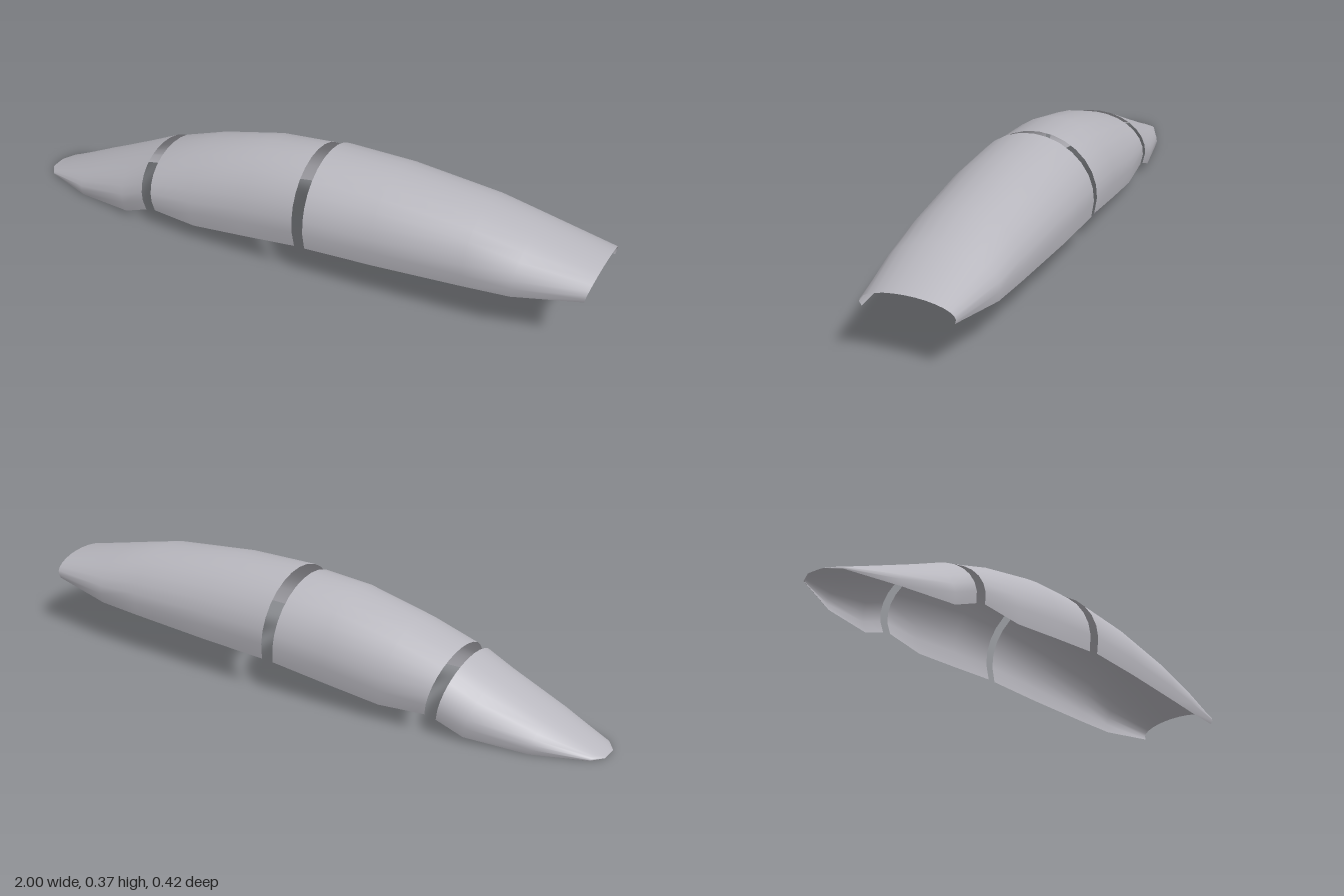
import * as THREE from 'three';

// Arch cross-section as [z factor, height factor]: short straight feet under a half ellipse
const ARCH = [[0.965, 0]];
const STEPS = 14;
for (let j = 0; j <= STEPS; j++) {
  const a = (j / STEPS) * Math.PI;
  ARCH.push([Math.cos(a), 0.22 + 0.78 * Math.sin(a)]);
}
ARCH.push([-0.965, 0]);

// Stations: [foot x, foot y, ridge x, ridge y, half width]
const SEGMENTS = {
  tipShell: [
    [-1, 0, -1, 0.002, 0.03],
    [-0.968, 0, -0.975, 0.012, 0.072],
    [-0.8, 0.001, -0.815, 0.087, 0.135],
    [-0.6, 0.017, -0.635, 0.172, 0.17],
    [-0.512, 0.055, -0.545, 0.215, 0.179],
  ],
  middleShell: [
    [-0.475, 0.065, -0.505, 0.226, 0.183],
    [-0.32, 0.06, -0.35, 0.285, 0.193],
    [-0.13, 0.086, -0.13, 0.341, 0.2],
    [0.06, 0.112, 0.04, 0.355, 0.204],
  ],
  baseShell: [
    [0.098, 0.117, 0.085, 0.365, 0.208],
    [0.33, 0.128, 0.32, 0.365, 0.203],
    [0.62, 0.142, 0.62, 0.337, 0.188],
    [0.77, 0.15, 0.78, 0.3, 0.178],
    [0.985, 0.183, 1, 0.249, 0.143],
  ],
};

// Open arched skin lofted through the stations
function shellGeometry(stations) {
  const pos = [], index = [], n = ARCH.length;
  stations.forEach(([fx, fy, rx, ry, w], i) => {
    ARCH.forEach(([z, h], j) => {
      pos.push(fx + (rx - fx) * h, fy + (ry - fy) * h, z * w);
      if (i < stations.length - 1 && j < n - 1) {
        const a = i * n + j, b = a + n;
        index.push(a, b, b + 1, a, b + 1, a + 1);
      }
    });
  });
  const geo = new THREE.BufferGeometry();
  geo.setAttribute('position', new THREE.Float32BufferAttribute(pos, 3));
  geo.setIndex(index);
  geo.computeVertexNormals();
  return geo;
}

export function createModel() {
  const group = new THREE.Group();
  group.name = 'segmentedShell';
  const shellGrey = new THREE.MeshStandardMaterial({ color: 0xb8b7be, side: THREE.DoubleSide });
  shellGrey.name = 'shell grey';
  for (const [name, stations] of Object.entries(SEGMENTS)) {
    const mesh = new THREE.Mesh(shellGeometry(stations), shellGrey);
    mesh.name = name;
    group.add(mesh);
  }
  return group;
}
